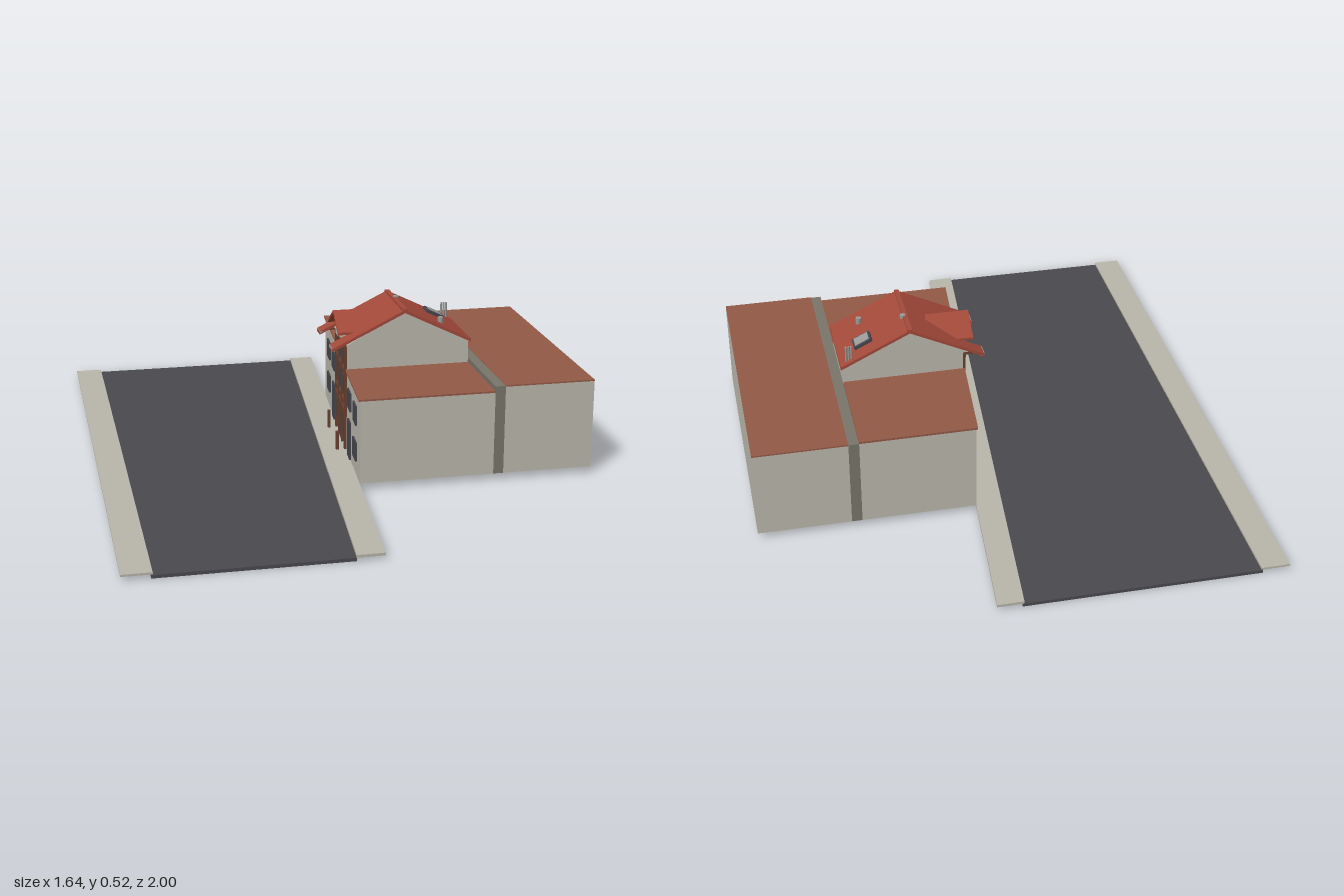
import * as THREE from 'three';

const mat = (name, color, side = THREE.FrontSide) => {
  const m = new THREE.MeshStandardMaterial({ color, side });
  m.name = name;
  return m;
};

export function createModel() {
  const plaster = mat('plaster', 0xbcb8ad);
  const pavement = mat('pavement', 0xb9b5aa);
  const asphalt = mat('asphalt', 0x4a494e);
  const flatRoof = mat('flat roof', 0x935947);
  const tile = mat('roof tile', 0xa3493a);
  const joint = mat('joint', 0x79756a);
  const glass = mat('dark glass', 0x45454d);
  const timber = mat('timber', 0x66402f);
  const metal = mat('metal', 0x9a9a98);

  const root = new THREE.Group();
  const add = (parent, name, geo, material) => {
    const m = new THREE.Mesh(geo, material);
    m.name = name;
    parent.add(m);
    return m;
  };
  const extrude = (pts, depth) => new THREE.ExtrudeGeometry(
    new THREE.Shape(pts.map(([a, b]) => new THREE.Vector2(a, b))), { depth, bevelEnabled: false });
  // Plan outline [x, z] raised from y0 to y1
  const slab = (name, pts, y0, y1, material) => add(root, name,
    extrude(pts.map(([x, z]) => [x, -z]), y1 - y0).rotateX(-Math.PI / 2).translate(0, y0, 0), material);
  // Profile [x, y] drawn out from z0 to z1
  const alongZ = (name, pts, z0, z1, material) =>
    add(root, name, extrude(pts, z1 - z0).translate(0, 0, z0), material);
  // Profile [z, y] drawn out from x0 to x1
  const alongX = (name, pts, x0, x1, material) => add(root, name,
    extrude(pts.map(([z, y]) => [-z, y]), x1 - x0).rotateY(Math.PI / 2).translate(x0, 0, 0), material);
  const box = (parent, name, size, pos, material) => {
    const m = add(parent, name, new THREE.BoxGeometry(...size), material);
    m.position.set(...pos);
    return m;
  };

  // Street with a pavement on each side; the right one runs at a slant
  slab('road', [[-0.735, -1], [0.05, -1], [-0.12, 1], [-0.735, 1]], 0.002, 0.013, asphalt);
  slab('leftPavement', [[-0.825, -1], [-0.73, -1], [-0.73, 1], [-0.825, 1]], 0.015, 0.022, pavement);
  slab('rightPavement', [[0.045, -1], [0.132, -1], [-0.03, 1], [-0.12, 1]], 0.013, 0.022, pavement);

  // Buildings; street walls follow the slanted pavement
  const frontX = z => 0.0515 - 0.0809 * z;
  const plan = (z0, z1, lip = 0) =>
    [[frontX(z0) - lip, z0], [0.475, z0], [0.475, z1], [frontX(z1) - lip, z1]];
  const rect = (x0, x1, z0, z1) => [[x0, z0], [x1, z0], [x1, z1], [x0, z1]];
  const Z0 = -0.5, Z1 = 0.44, H0 = -0.145, H1 = 0.107;

  slab('farNeighbourWalls', plan(Z0, H0), 0.025, 0.333, plaster);
  slab('farNeighbourRoof', plan(Z0, H0, 0.006), 0.333, 0.34, flatRoof);
  slab('nearNeighbourWalls', plan(H1, Z1), 0.025, 0.311, plaster);
  slab('nearNeighbourRoof', plan(H1, Z1, 0.006), 0.311, 0.317, flatRoof);
  slab('jointWall', rect(0.475, 0.51, Z0, Z1), 0.025, 0.333, joint);
  slab('rearBlockWalls', rect(0.51, 0.82, Z0, Z1), 0.025, 0.33, plaster);
  slab('rearBlockRoof', rect(0.51, 0.82, Z0, Z1), 0.33, 0.335, flatRoof);

  // Gabled house in the middle
  slab('houseFoundation', rect(0.062, 0.465, -0.13, 0.1), 0.01, 0.025, plaster);
  slab('houseWalls', plan(H0, H1), 0.025, 0.405, plaster);
  alongZ('houseGable', [[0.045, 0.404], [0.473, 0.401], [0.245, 0.511]], H0, H1, plaster);

  // Tiled roof, its street eave cut away below the dormer
  const T = 0.011, R0 = -0.155, R1 = 0.115;
  const slopeY = x => (x < 0.245 ? 0.395 + (x + 0.01) * 0.49 : 0.52 - (x - 0.245) * 0.49);
  const roofPart = (name, x0, x1, z0, z1) => alongZ(name,
    [[x0, slopeY(x0) - T], [x1, slopeY(x1) - T], [x1, slopeY(x1)], [x0, slopeY(x0)]], z0, z1, tile);
  roofPart('streetRoof', 0.065, 0.245, R0, R1);
  roofPart('rearRoof', 0.2451, 0.482, R0, R1);
  roofPart('eaveFar', -0.01, 0.065, R0, -0.105);
  roofPart('eaveNear', -0.01, 0.065, 0.055, R1);
  box(root, 'ridgeCap', [0.016, 0.008, R1 - R0], [0.245, 0.519, (R0 + R1) / 2], tile);
  for (const z of [-0.13, 0.085])
    box(root, 'gutter', [0.012, 0.008, 0.05], [-0.004, 0.392, z], metal);

  // Dormer
  const dz = -0.022;
  alongX('dormerBody', [[dz - 0.07, 0.39], [dz + 0.07, 0.39], [dz + 0.07, 0.434],
    [dz, 0.484], [dz - 0.07, 0.434]], 0.045, 0.15, plaster);
  for (const s of [-1, 1])
    alongX('dormerRoof', [[dz, 0.486], [dz + s * 0.087, 0.428], [dz + s * 0.087, 0.437],
      [dz, 0.495]], 0.02, 0.172, tile);

  // Skylight, vents and flues
  const skylight = new THREE.Group();
  skylight.name = 'skylight';
  skylight.position.set(0.394, slopeY(0.394), -0.074);
  skylight.rotation.z = -Math.atan(0.49);
  root.add(skylight);
  box(skylight, 'skylightFrame', [0.066, 0.014, 0.054], [0, 0.004, 0], glass);
  box(skylight, 'skylightPane', [0.052, 0.003, 0.042], [0, 0.012, 0], metal);
  const pipe = (name, r, h, x, y, z) => {
    const m = add(root, name, new THREE.CylinderGeometry(r, r, h, 10), metal);
    m.position.set(x, y, z);
  };
  pipe('ridgeVent', 0.01, 0.022, 0.253, 0.514, -0.057);
  pipe('roofVent', 0.01, 0.025, 0.39, 0.456, 0.046);
  for (const x of [0.442, 0.451, 0.46]) pipe('flue', 0.0035, 0.06, x, 0.44, -0.134);

  // Street front: local z runs along the slanted wall, -x is outward
  const facade = new THREE.Group();
  facade.name = 'streetFront';
  facade.position.x = 0.0515;
  facade.rotation.y = -Math.atan(0.0809);
  root.add(facade);
  const plate = (name, z, y, w, h, material, t = 0.006) =>
    box(facade, name, [t, h, w], [-t / 2, y, z], material);

  // Neighbours: two upper windows, one lower window and a door each
  for (const [win, door, lift] of [[-0.376, -0.235, 0], [0.326, 0.19, -0.012]]) {
    for (const z of [win, door]) plate('upperWindow', z, 0.245 + lift, 0.07, 0.066, glass);
    plate('lowerWindow', win, 0.118 + lift, 0.07, 0.066, glass);
    plate('neighbourDoor', door, 0.092, 0.055, 0.134, glass);
  }

  // Half-timbered house front
  for (const z of [-0.138, -0.062, 0.022, 0.1])
    plate('timberPost', z, 0.21, 0.012, 0.37, timber, 0.009);
  for (const y of [0.165, 0.195, 0.305, 0.39])
    plate('timberBeam', -0.019, y, 0.25, 0.012, timber, 0.01);
  for (const z of [-0.1, -0.02, 0.061]) {
    plate('houseWindow', z, 0.25, 0.05, 0.065, glass);
    plate('topWindow', z, 0.35, 0.046, 0.05, glass);
  }
  plate('shopWindow', -0.1, 0.105, 0.055, 0.075, glass);
  plate('houseDoor', -0.02, 0.09, 0.055, 0.13, timber);
  plate('shopWindow', 0.061, 0.105, 0.055, 0.075, glass);
  plate('dormerWindow', -0.024, 0.43, 0.05, 0.042, glass, 0.009);
  for (const z of [-0.135, 0.095]) {
    box(facade, 'eaveBracket', [0.03, 0.012, 0.012], [-0.018, 0.398, z], timber);
    box(facade, 'bollard', [0.01, 0.065, 0.012], [-0.032, 0.055, z], timber);
  }
  return root;
}
